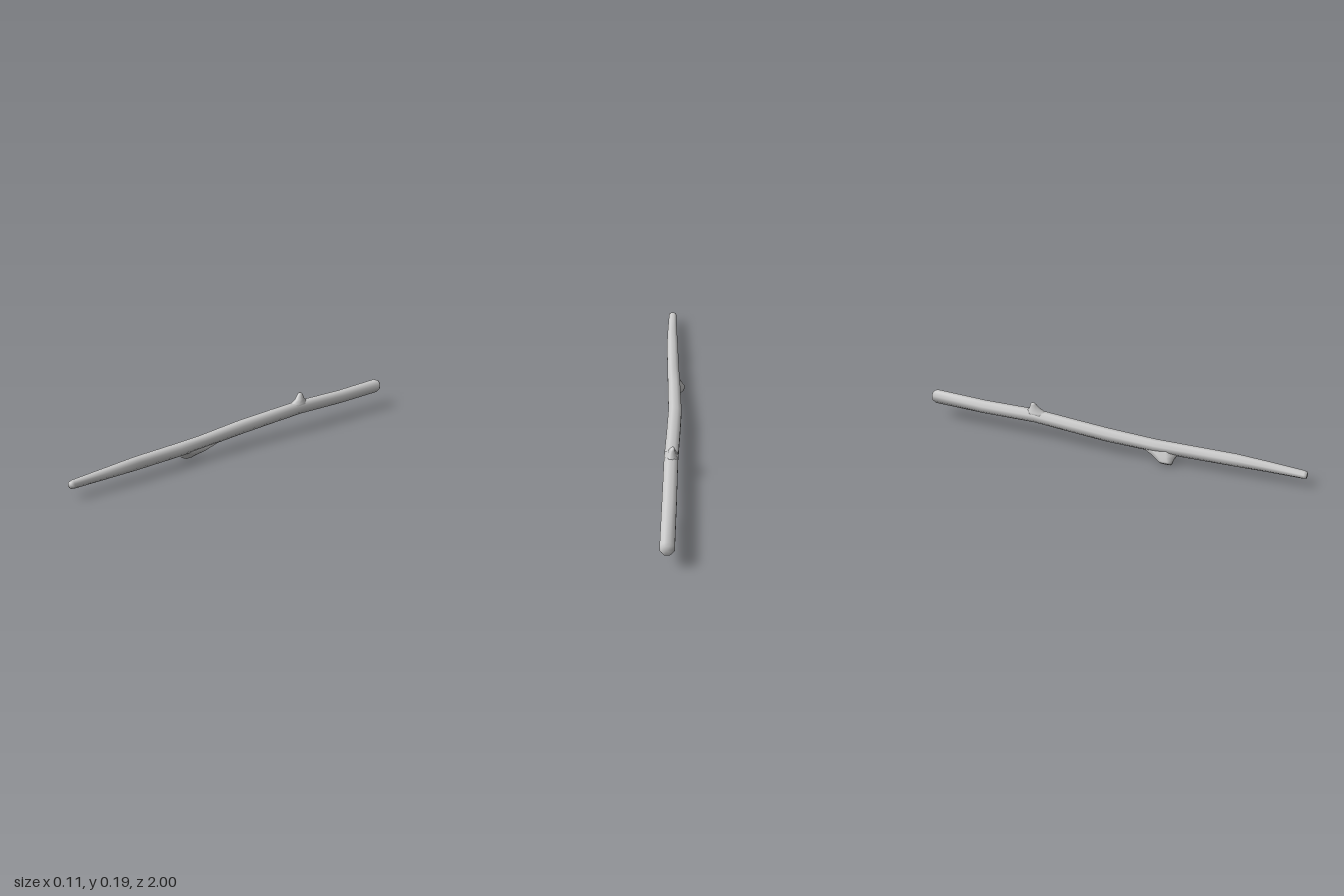
import * as THREE from 'three';

const SIDES = 8;
const material = new THREE.MeshStandardMaterial({ color: 0xcccccc });

// Closed smooth loft through eight-sided rings; each ring is [x, y, z, halfU, halfV].
// The rings advance along u x v.
function loft(name, rings, u, v) {
  const pos = [], index = [];
  const stretch = 1 / Math.cos(Math.PI / SIDES);
  for (const [x, y, z, hu, hv] of rings) {
    for (let j = 0; j < SIDES; j++) {
      const a = ((j + 0.5) / SIDES) * Math.PI * 2;
      const p = new THREE.Vector3(x, y, z)
        .addScaledVector(u, Math.cos(a) * hu * stretch)
        .addScaledVector(v, Math.sin(a) * hv * stretch);
      pos.push(p.x, p.y, p.z);
    }
  }
  const last = (rings.length - 1) * SIDES;
  const start = rings.length * SIDES, end = start + 1;
  pos.push(...rings[0].slice(0, 3), ...rings[rings.length - 1].slice(0, 3));
  for (let j = 0; j < SIDES; j++) {
    const k = (j + 1) % SIDES;
    for (let i = 0; i < last; i += SIDES) {
      index.push(i + j, i + k, i + SIDES + k, i + j, i + SIDES + k, i + SIDES + j);
    }
    index.push(start, k, j, end, last + j, last + k);
  }
  const geometry = new THREE.BufferGeometry();
  geometry.setAttribute('position', new THREE.Float32BufferAttribute(pos, 3));
  geometry.setIndex(index);
  geometry.computeVertexNormals();
  const mesh = new THREE.Mesh(geometry, material);
  mesh.name = name;
  return mesh;
}

export function createModel() {
  const group = new THREE.Group();
  group.name = 'stick';
  const X = new THREE.Vector3(1, 0, 0);
  const Y = new THREE.Vector3(0, 1, 0);
  const Z = new THREE.Vector3(0, 0, 1);

  // Long, slightly bent shaft, thick at the back and tapering to the front
  group.add(loft('shaft', [
    [-0.019, 0.120, -1.00, 0.024, 0.027],
    [-0.019, 0.120, -0.985, 0.032, 0.034],
    [-0.016, 0.113, -0.70, 0.033, 0.032],
    [-0.012, 0.117, -0.40, 0.033, 0.032],
    [-0.015, 0.105, -0.20, 0.033, 0.032],
    [-0.016, 0.093, 0.00, 0.033, 0.032],
    [-0.002, 0.079, 0.25, 0.032, 0.029],
    [0.008, 0.075, 0.40, 0.031, 0.030],
    [0.022, 0.073, 0.65, 0.030, 0.029],
    [0.028, 0.069, 0.80, 0.026, 0.024],
    [0.033, 0.063, 0.985, 0.021, 0.018],
    [0.033, 0.062, 1.00, 0.017, 0.014],
  ], X, Y));

  // Pointed spur on top, with a flared base
  group.add(loft('upperSpur', [
    [-0.012, 0.120, -0.39, 0.085, 0.032],
    [-0.013, 0.143, -0.395, 0.050, 0.025],
    [-0.015, 0.162, -0.403, 0.026, 0.018],
    [-0.018, 0.184, -0.408, 0.015, 0.012],
    [-0.020, 0.193, -0.408, 0.008, 0.007],
  ], Z, X));

  // Blunt branch stub, leaning down and to the right
  const down = new THREE.Vector3(-0.62, -0.79, 0).normalize();
  group.add(loft('lowerStub', [
    [0.005, 0.070, 0.27, 0.120, 0.030],
    [-0.010, 0.050, 0.28, 0.085, 0.028],
    [-0.025, 0.033, 0.30, 0.055, 0.024],
    [-0.038, 0.015, 0.315, 0.037, 0.020],
    [-0.044, 0.010, 0.32, 0.026, 0.014],
  ], Z, down.clone().cross(Z)));

  return group;
}
